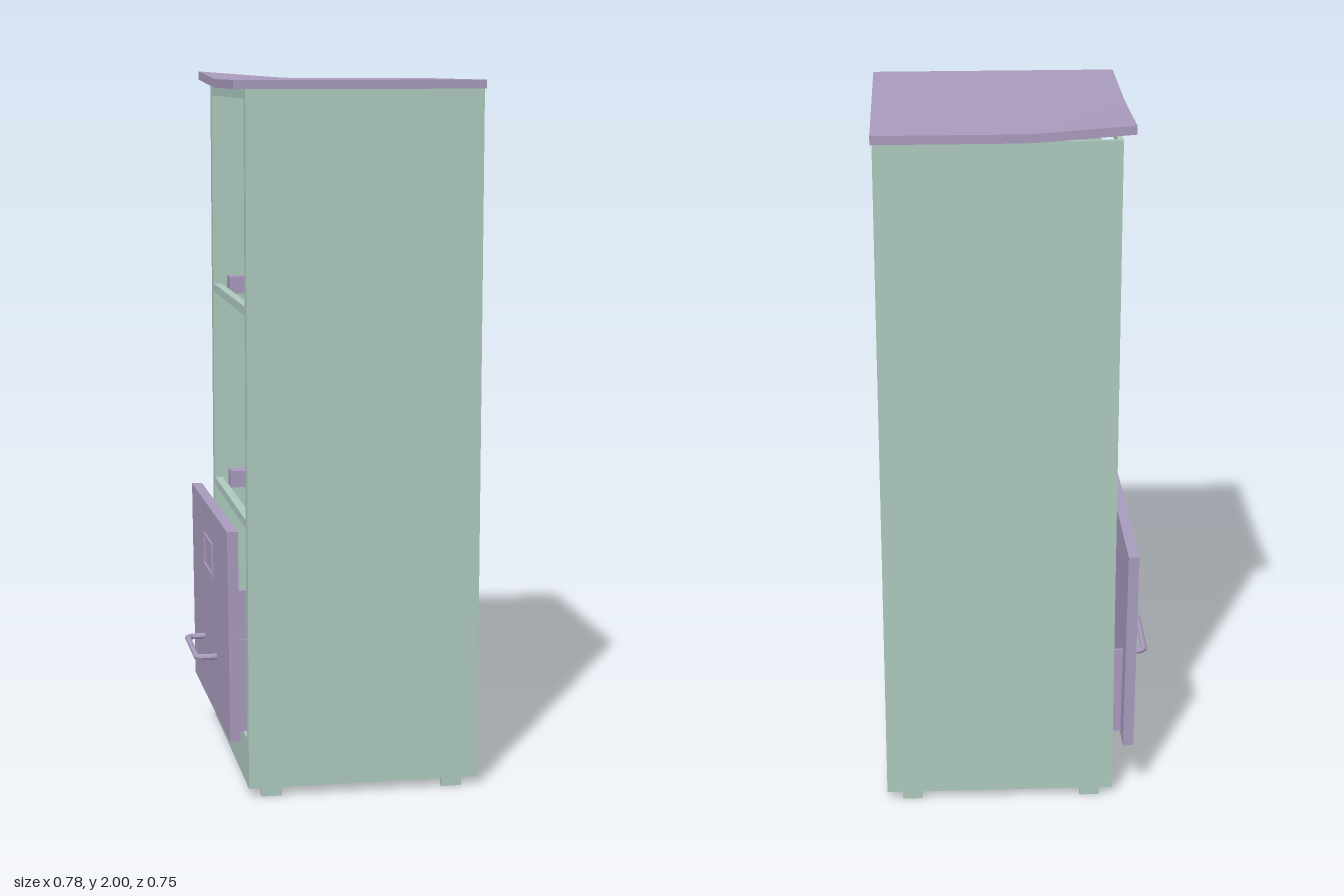
import * as THREE from 'three';

const green = new THREE.MeshStandardMaterial({ color: 0xaecabf, flatShading: true });
const purple = new THREE.MeshStandardMaterial({ color: 0xa99bbd, flatShading: true });

// Box given by its limits on each axis
function box(parent, name, mat, [x0, x1], [y0, y1], [z0, z1], seg = [1, 1, 1]) {
  const g = new THREE.BoxGeometry(x1 - x0, y1 - y0, z1 - z0, ...seg);
  g.translate((x0 + x1) / 2, (y0 + y1) / 2, (z0 + z1) / 2);
  const m = new THREE.Mesh(g, mat);
  m.name = name;
  parent.add(m);
  return m;
}

// Move every vertex of a mesh by a rule
function bend(mesh, rule) {
  const p = mesh.geometry.attributes.position;
  const v = new THREE.Vector3();
  for (let i = 0; i < p.count; i++) {
    v.fromBufferAttribute(p, i);
    rule(v);
    p.setXYZ(i, v.x, v.y, v.z);
  }
  mesh.geometry.computeVertexNormals();
}

function createCabinet() {
  const cabinet = new THREE.Group();
  cabinet.name = 'cabinet';
  const H = [0.025, 1.958];

  // Sheet walls, open towards -x
  box(cabinet, 'backPanel', green, [0.374, 0.384], H, [-0.352, 0.357]);
  box(cabinet, 'sideWallLeft', green, [-0.27, 0.384], H, [0.357, 0.367]);
  box(cabinet, 'sideWallRight', green, [-0.27, 0.384], H, [-0.362, -0.352]);

  // Frame around the drawer openings
  box(cabinet, 'stileLeft', green, [-0.27, -0.255], H, [0.332, 0.357]);
  box(cabinet, 'stileRight', green, [-0.27, -0.255], H, [-0.352, -0.327]);
  box(cabinet, 'header', green, [-0.269, -0.255], [1.93, 1.957], [-0.327, 0.332]);
  box(cabinet, 'kickPanel', green, [-0.269, -0.255], [0.025, 0.16], [-0.327, 0.332]);
  for (const y of [0.77, 1.36])
    box(cabinet, 'crossbar', green, [-0.269, -0.245], [y - 0.012, y + 0.012], [-0.327, 0.332]);

  // Narrow turned-in rim at the base
  box(cabinet, 'baseRimBack', green, [0.354, 0.374], [0.025, 0.035], [-0.352, 0.357]);
  box(cabinet, 'baseRimFront', green, [-0.255, -0.24], [0.025, 0.035], [-0.352, 0.357]);
  for (const [a, b] of [[-0.352, -0.332], [0.337, 0.357]])
    box(cabinet, 'baseRimSide', green, [-0.24, 0.354], [0.026, 0.035], [a, b]);

  // Drawer rails on both side walls
  for (const y of [0.17, 0.755, 1.345])
    for (const [a, b] of [[-0.352, -0.29], [0.295, 0.357]])
      box(cabinet, 'drawerRail', purple, [-0.225, 0.372], [y, y + 0.05], [a, b]);

  // Feet
  for (const x of [-0.205, 0.31])
    for (const z of [-0.35, 0.355])
      box(cabinet, 'foot', green, [x - 0.029, x + 0.029], [0, 0.026], [z - 0.009, z + 0.009]);
  return cabinet;
}

function createDrawer() {
  const drawer = new THREE.Group();
  drawer.name = 'drawer';

  // Open-topped tray
  const X = [-0.305, 0.34], Y = [0.17, 0.435];
  box(drawer, 'drawerFloor', purple, X, [0.17, 0.182], [-0.28, 0.285]);
  for (const [a, b] of [[-0.288, -0.28], [0.285, 0.293]])
    box(drawer, 'drawerSide', purple, X, Y, [a, b]);
  box(drawer, 'drawerBack', purple, [0.332, 0.34], Y, [-0.28, 0.285]);

  // Front plate, hanging slightly askew
  const skew = v => {
    v.x += -0.011 * (v.y - 0.46) + 0.012 * v.z;
    v.z += 0.012 * (v.y - 0.46);
  };
  bend(box(drawer, 'drawerFront', purple, [-0.329, -0.299], [0.163, 0.76], [-0.359, 0.369]), skew);

  // Label holder frame
  const holder = new THREE.Group();
  holder.name = 'labelHolder';
  drawer.add(holder);
  const D = [-0.334, -0.328];
  for (const y of [0.565, 0.655])
    bend(box(holder, 'labelHolderBar', purple, D, [y, y + 0.01], [-0.085, 0.085]), skew);
  for (const z of [-0.085, 0.075])
    bend(box(holder, 'labelHolderSide', purple, D, [0.575, 0.655], [z, z + 0.01]), skew);

  // Bent bar handle
  const pts = [[-0.325, -0.118], [-0.37, -0.118], [-0.383, -0.105], [-0.383, 0.107], [-0.37, 0.12], [-0.325, 0.12]]
    .map(([x, z]) => new THREE.Vector3(x, 0.342, z));
  const path = new THREE.CurvePath();
  for (let i = 1; i < pts.length; i++) path.add(new THREE.LineCurve3(pts[i - 1], pts[i]));
  const handle = new THREE.Mesh(new THREE.TubeGeometry(path, 48, 0.009, 8), purple);
  handle.name = 'handle';
  drawer.add(handle);
  return drawer;
}

export function createModel() {
  const model = new THREE.Group();
  model.name = 'filingCabinet';
  model.add(createCabinet(), createDrawer());

  // Lid with one corner bent upwards
  const lid = box(model, 'lid', purple, [-0.303, 0.389], [1.956, 1.98], [-0.375, 0.37], [12, 1, 12]);
  bend(lid, v => {
    const t = Math.max(0, (-0.03 - v.x) / 0.273) * 0.5 + Math.max(0, (-0.02 - v.z) / 0.355) * 0.5;
    const inside = v.x < -0.03 && v.z < -0.02;
    const reach = Math.max(0, Math.min(1, 2 * t - 1));
    if (inside) v.y += 0.02 * reach;
  });
  return model;
}
